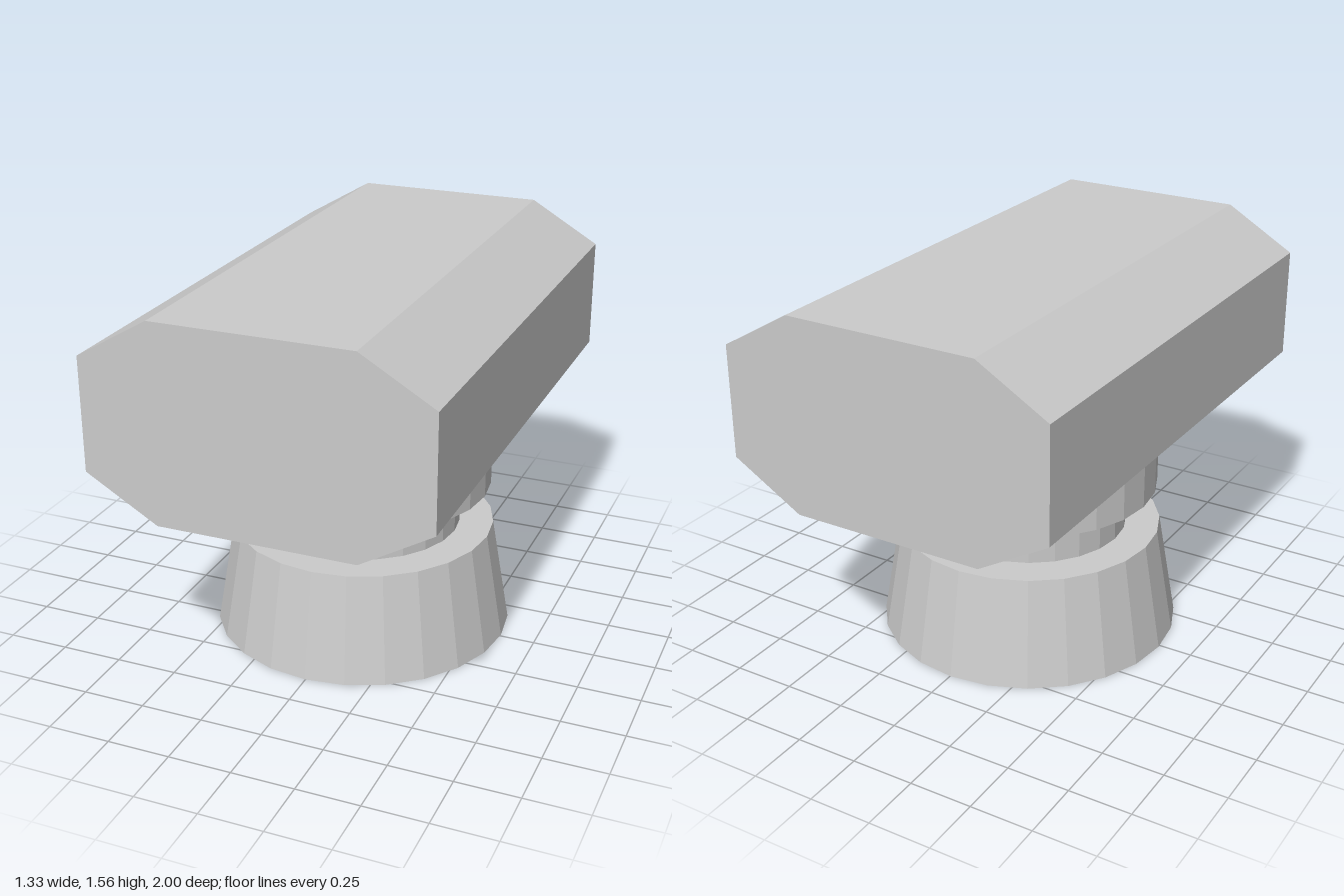
import * as THREE from 'three';

const SIDES = 24;

export function createModel() {
  const model = new THREE.Group();
  const material = new THREE.MeshStandardMaterial({ color: 0xcccccc, flatShading: true });

  const add = (name, geometry, x, y, z) => {
    const mesh = new THREE.Mesh(geometry, material);
    mesh.name = name;
    mesh.position.set(x, y, z);
    model.add(mesh);
  };

  // Round pedestal: [name, top radius, bottom radius, bottom y, top y]
  const tiers = [
    ['base', 0.535, 0.61, 0, 0.44],
    ['neck', 0.397, 0.397, 0.44, 0.617],
    ['collar', 0.52, 0.52, 0.617, 0.815],
  ];
  for (const [name, top, bottom, y0, y1] of tiers) {
    add(name, new THREE.CylinderGeometry(top, bottom, y1 - y0, SIDES), -0.002, (y0 + y1) / 2, -0.01);
  }

  // Long head: a chamfered rectangle extruded from back to front
  const halfWidth = 0.667, halfFlat = 0.385, halfHeight = 0.387, halfSide = 0.222;
  const outline = new THREE.Shape([
    [halfFlat, -halfHeight], [halfWidth, -halfSide],
    [halfWidth, halfSide], [halfFlat, halfHeight],
    [-halfFlat, halfHeight], [-halfWidth, halfSide],
    [-halfWidth, -halfSide], [-halfFlat, -halfHeight],
  ].map(([x, y]) => new THREE.Vector2(x, y)));
  const headGeometry = new THREE.ExtrudeGeometry(outline, { depth: 2, bevelEnabled: false });
  add('head', headGeometry, 0, 1.176, -1);

  return model;
}
